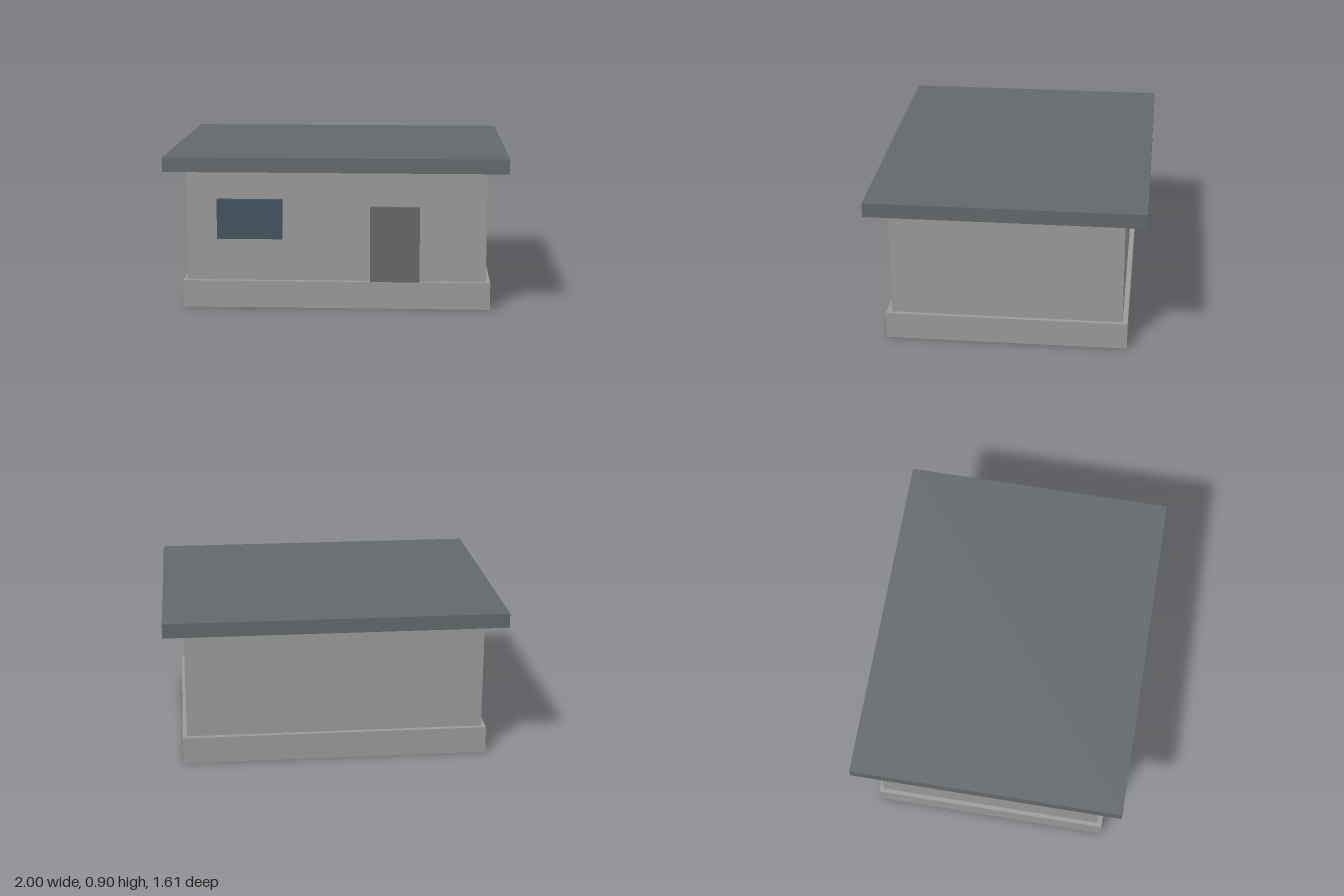
import * as THREE from 'three';

const mat = (name, color) => {
  const m = new THREE.MeshStandardMaterial({ color });
  m.name = name;
  return m;
};

export function createModel() {
  const concrete = mat('concrete grey', 0x999b98);
  const slate = mat('roof slate', 0x64686b);
  const doorGrey = mat('door grey', 0x656669);
  const glass = mat('window blue', 0x40525e);

  const model = new THREE.Group();
  model.name = 'smallBuilding';

  // Box given by its extents on each axis
  const block = (name, material, [x0, x1], [y0, y1], [z0, z1]) => {
    const mesh = new THREE.Mesh(new THREE.BoxGeometry(x1 - x0, y1 - y0, z1 - z0), material);
    mesh.position.set((x0 + x1) / 2, (y0 + y1) / 2, (z0 + z1) / 2);
    mesh.name = name;
    model.add(mesh);
  };

  // Main volumes
  block('foundation', concrete, [-0.905, 0.905], [0, 0.16], [-0.71, 0.71]);
  block('walls', concrete, [-0.88, 0.88], [0.16, 0.82], [-0.68, 0.68]);
  block('roofSlab', slate, [-1, 1], [0.82, 0.905], [-0.805, 0.805]);

  // Front details, standing proud of the wall
  block('door', doorGrey, [0.2, 0.49], [0.16, 0.605], [0.68, 0.71]);
  block('window', glass, [-0.7, -0.315], [0.41, 0.645], [0.68, 0.705]);

  return model;
}
